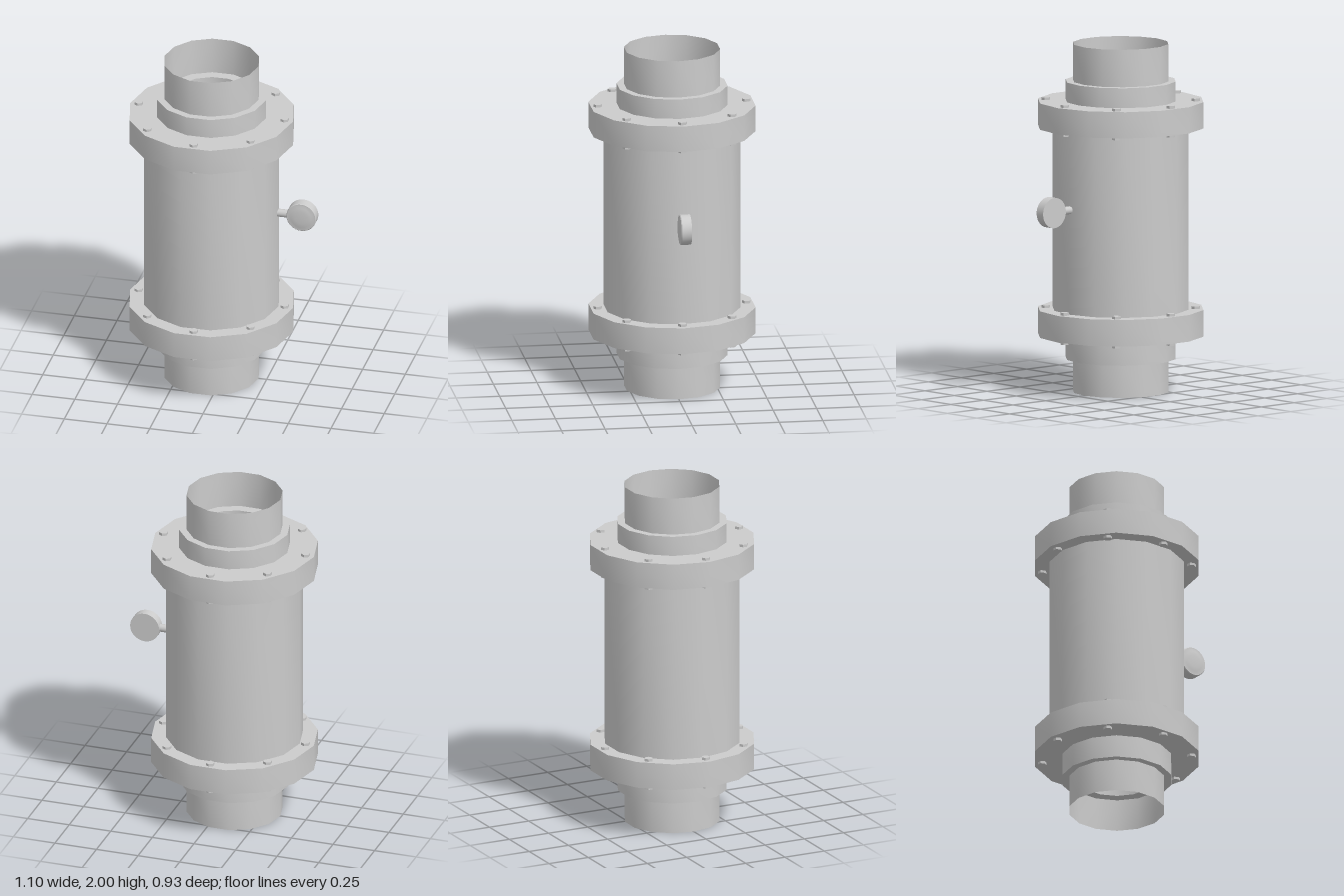
import * as THREE from 'three';
import { toCreasedNormals } from 'three/addons/utils/BufferGeometryUtils.js';

const SIDES = 14;
const AXIS_X = -0.072;
const BORE = 0.215;
const grey = new THREE.MeshStandardMaterial({ color: 0xcccccc });
const greyOpen = new THREE.MeshStandardMaterial({ color: 0xcccccc, side: THREE.DoubleSide });

function add(parent, name, geometry, material = grey) {
  const mesh = new THREE.Mesh(geometry, material);
  mesh.name = name;
  parent.add(mesh);
  return mesh;
}

// Revolved profile of [radius, height] pairs with a corner on the x axis
function revolve(profile, sides = SIDES) {
  const points = profile.map(([r, y]) => new THREE.Vector2(r, y));
  return toCreasedNormals(new THREE.LatheGeometry(points, sides, Math.PI / 2), 0.6);
}

// Solid ring around the bore
function ring(radius, y0, y1) {
  return revolve([[BORE, y0], [radius, y0], [radius, y1], [BORE, y1], [BORE, y0]]);
}

// One pipe end: thin open pipe, collar, flange and its bolts
function pipeEnd(name, pipe, collar, flange) {
  const end = new THREE.Group();
  end.name = name;
  add(end, 'pipe', revolve([[0.275, pipe[0]], [0.275, pipe[1]]]), greyOpen);
  add(end, 'collar', ring(0.317, ...collar));
  add(end, 'flange', ring(0.477, ...flange));
  const height = flange[1] - flange[0] + 0.03;
  const boltGeometry = toCreasedNormals(new THREE.CylinderGeometry(0.025, 0.025, height, 6), 0.6);
  for (let i = 0; i < 8; i++) {
    const a = (i * Math.PI) / 4;
    add(end, 'bolt', boltGeometry).position.set(
      Math.cos(a) * 0.427, (flange[0] + flange[1]) / 2, Math.sin(a) * 0.427);
  }
  return end;
}

export function createModel() {
  const model = new THREE.Group();
  model.name = 'flangedPipe';

  const assembly = new THREE.Group();
  assembly.name = 'pipeAssembly';
  assembly.position.x = AXIS_X;
  model.add(assembly);

  // Main barrel between the flanges
  add(assembly, 'barrel', revolve([[0.392, 0.477], [0.392, 1.52]]), greyOpen);
  assembly.add(pipeEnd('lowerEnd', [0, 0.191], [0.191, 0.324], [0.324, 0.477]));
  assembly.add(pipeEnd('upperEnd', [1.785, 2], [1.671, 1.785], [1.52, 1.671]));

  // Dial gauge on a short stem, facing the front
  const gauge = new THREE.Group();
  gauge.name = 'gauge';
  gauge.position.set(0.459, 1.077, 0);
  model.add(gauge);
  const stem = add(gauge, 'gaugeStem', new THREE.CylinderGeometry(0.023, 0.023, 0.13, 16));
  stem.rotation.z = Math.PI / 2;
  stem.position.x = -0.125;
  const dial = add(gauge, 'gaugeDial', revolve([
    [0, -0.029], [0.087, -0.029], [0.087, 0.026], [0.083, 0.031],
    [0.074, 0.031], [0.06, 0.035], [0.035, 0.037], [0, 0.038],
  ], 32));
  dial.rotation.x = Math.PI / 2;

  return model;
}
